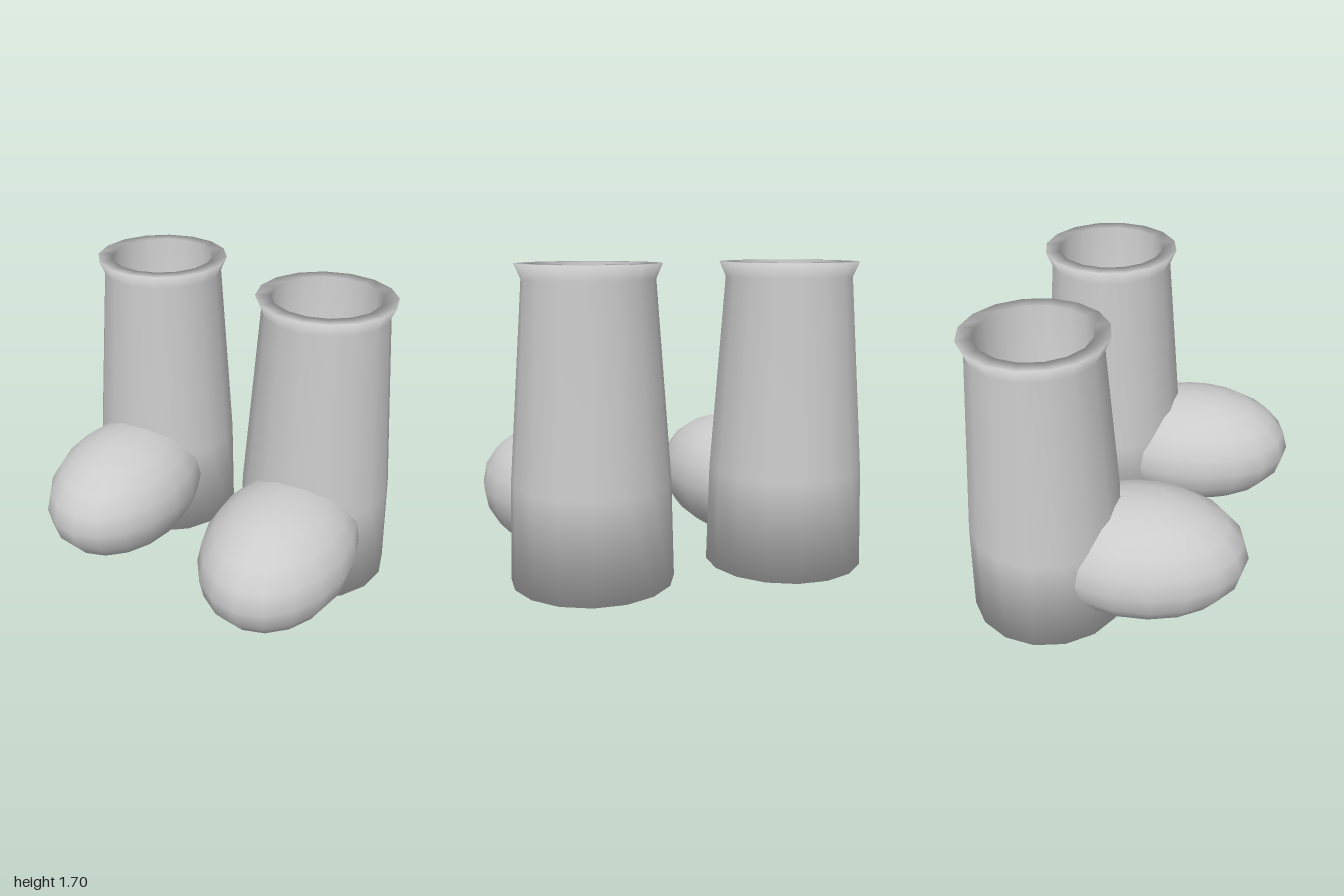
import * as THREE from 'three';

export function createModel() {
  const model = new THREE.Group();
  model.name = 'boots';
  const grey = new THREE.MeshStandardMaterial({ color: 0xcccccc });
  grey.name = 'light grey';

  // Closed shaft profile: sole, outer wall, flared cuff, inner wall, inner floor
  const profile = [
    [0, 0], [0.445, 0], [0.43, 0.55], [0.35, 1.62], [0.385, 1.7],
    [0.3, 1.7], [0.3, 0.64], [0, 0.64],
  ].map(([r, y]) => new THREE.Vector2(r, y));
  const shaftGeometry = new THREE.LatheGeometry(profile, 16);

  // Egg-like toe, turned so that a vertex points forward
  const toeGeometry = new THREE.SphereGeometry(1, 18, 10);
  toeGeometry.rotateY(Math.PI / 2);
  toeGeometry.scale(0.42, 0.358, 0.6);

  function addBoot(name, x, z) {
    const boot = new THREE.Group();
    boot.name = name;
    const shaft = new THREE.Mesh(shaftGeometry, grey);
    shaft.name = 'shaft';
    const toe = new THREE.Mesh(toeGeometry, grey);
    toe.name = 'toe';
    toe.position.set(0, 0.387, 0.53);
    boot.add(shaft, toe);
    boot.position.set(x, 0, z);
    model.add(boot);
  }

  // The left boot stands a little ahead of the right one
  addBoot('leftBoot', 0.555, -0.25);
  addBoot('rightBoot', -0.555, -0.44);
  return model;
}
